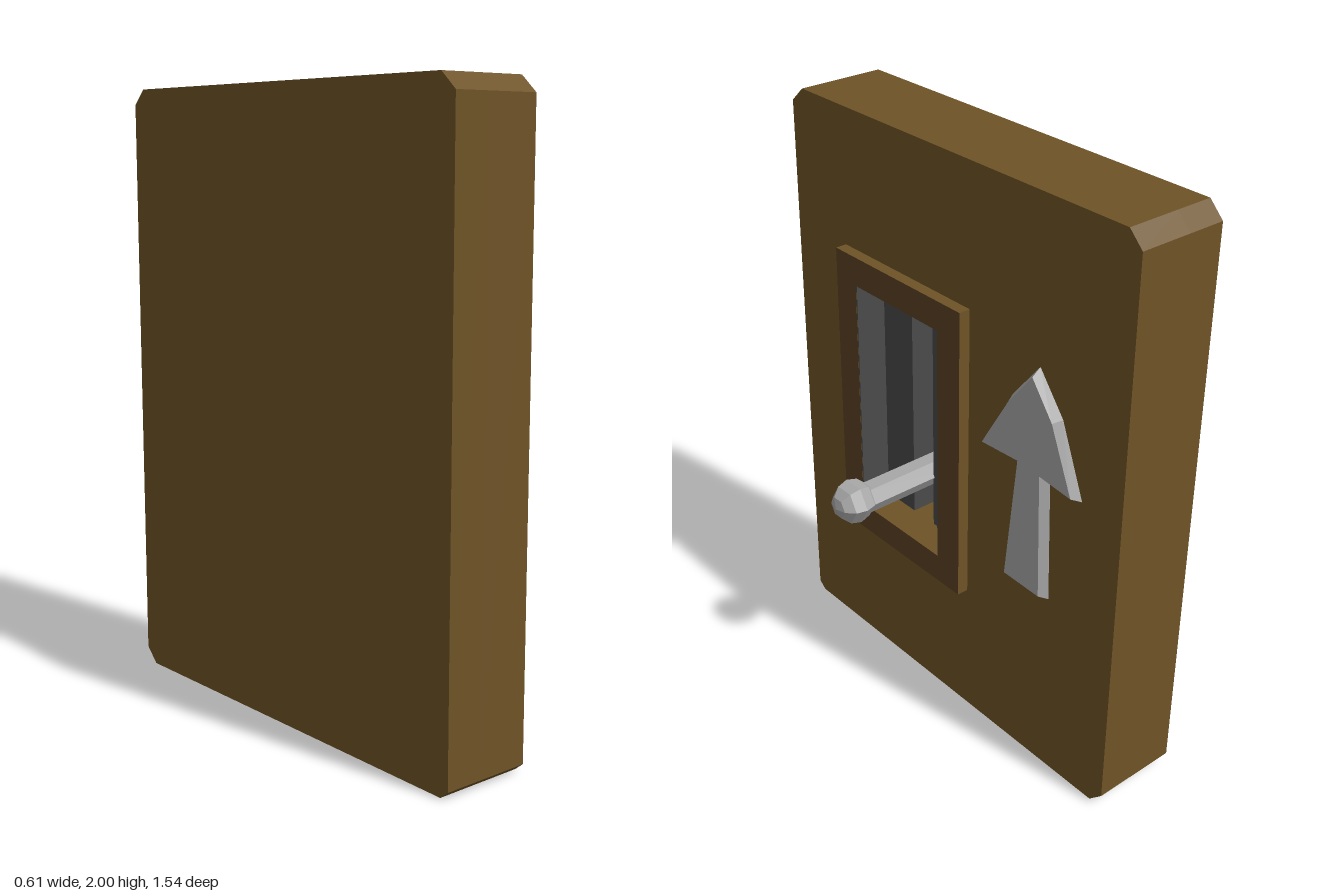
import * as THREE from 'three';

const material = (name, color, flat = true) => {
  const m = new THREE.MeshStandardMaterial({ color });
  m.name = name;
  m.flatShading = flat;
  return m;
};

const shapeFrom = (points) => new THREE.Shape(points.map(([z, y]) => new THREE.Vector2(-z, y)));
const rect = (z0, z1, y0, y1) => [[z1, y0], [z0, y0], [z0, y1], [z1, y1]];

// Outlines are given as [z, y] and extruded along +x, starting at x0
function slab(points, hole, x0, x1, options = {}) {
  const shape = shapeFrom(points);
  if (hole) shape.holes.push(shapeFrom(hole));
  const geo = new THREE.ExtrudeGeometry(shape, { depth: x1 - x0, bevelEnabled: false, ...options });
  return geo.rotateY(Math.PI / 2).translate(x0, 0, 0);
}

export function createModel() {
  const wood = material('wood brown', 0x6e5326);
  const darkWood = material('dark wood', 0x5a4024);
  const slate = material('slot grey', 0x4a4a4a);
  const metal = material('light grey metal', 0xa8a8a8);

  const group = new THREE.Group();
  group.name = 'leverPanel';
  const add = (name, geometry, mat) => {
    const mesh = new THREE.Mesh(geometry, mat);
    mesh.name = name;
    group.add(mesh);
    return mesh;
  };

  const back = -0.305, floorX = -0.18, ledgeX = -0.07, faceX = 0.04;
  const opening = rect(0, 0.41, 0.59, 1.435);

  // Board with chamfered corners: solid back, front layer cut for the slot
  const board = [
    [0.74, 0], [-0.72, 0], [-0.77, 0.05], [-0.77, 1.95],
    [-0.72, 2], [0.715, 2], [0.77, 1.95], [0.77, 0.025],
  ];
  add('boardBack', slab(board, null, back, floorX), wood);
  add('boardFront', slab(board, opening, floorX, 0), wood);

  // Raised frame: dark face, wood edges
  add('frame', slab(rect(-0.105, 0.51, 0.49, 1.535), opening, 0, faceX), [darkWood, wood]);

  // Stepped lining of the recess, extruded upwards
  const t = 0.004;
  const profile = [
    [floorX, 0], [faceX - 0.001, 0], [faceX - 0.001, t], [ledgeX, t], [ledgeX, 0.155],
    [floorX + t, 0.155], [floorX + t, 0.26], [ledgeX, 0.26], [ledgeX, 0.41 - t],
    [faceX - 0.001, 0.41 - t], [faceX - 0.001, 0.41], [floorX, 0.41],
  ];
  const lining = new THREE.ExtrudeGeometry(
    new THREE.Shape(profile.map(([x, z]) => new THREE.Vector2(x, -z))),
    { depth: 1.435 - 0.59, bevelEnabled: false },
  );
  lining.rotateX(-Math.PI / 2).translate(0, 0.59, 0);
  add('slotLining', lining, slate);

  // Lever: six-sided rod with a faceted knob
  const rod = new THREE.CylinderGeometry(0.051, 0.051, 0.37, 6);
  rod.rotateZ(-Math.PI / 2).translate(0.01, 0.782, 0.2);
  add('leverRod', rod, metal);
  const knob = new THREE.SphereGeometry(0.075, 6, 6);
  knob.rotateY(Math.PI / 6).rotateZ(-Math.PI / 2);
  knob.rotateX(Math.PI / 3).translate(0.226, 0.785, 0.208);
  add('leverKnob', knob, metal);

  // Arrow with sloping edges, its lower half sunk in the board
  const arrow = [
    [-0.416, 1.47], [-0.305, 1.335], [-0.183, 1.12], [-0.347, 1.125], [-0.3, 0.685],
    [-0.49, 0.68], [-0.475, 1.115], [-0.61, 1.105], [-0.517, 1.34],
  ];
  add('arrow', slab(arrow, null, 0, 0.001, {
    bevelEnabled: true, bevelThickness: 0.03, bevelSize: 0.016, bevelOffset: -0.016, bevelSegments: 1,
  }), metal);

  return group;
}
